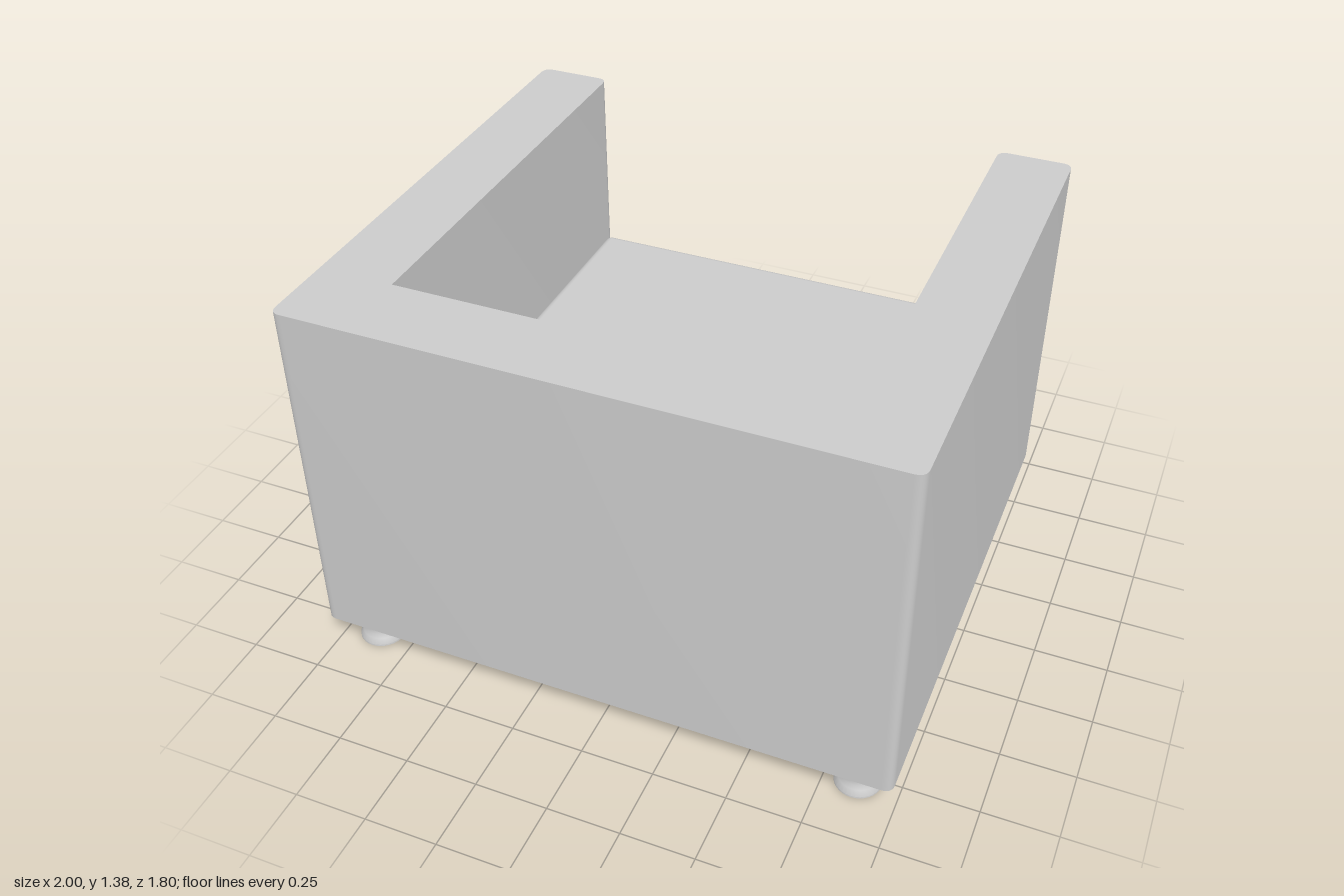
import * as THREE from 'three';
import { toCreasedNormals } from 'three/addons/utils/BufferGeometryUtils.js';
import { RoundedBoxGeometry } from 'three/addons/geometries/RoundedBoxGeometry.js';

const material = new THREE.MeshStandardMaterial({ color: 0xcccccc });

// Closed outline through [x, z, cornerRadius] points (shape y = -z)
function outline(points, target = new THREE.Shape()) {
  const n = points.length;
  points.forEach(([x, z, r], i) => {
    const p = new THREE.Vector2(x, -z);
    const toward = ([qx, qz]) => new THREE.Vector2(qx, -qz).sub(p).setLength(r).add(p);
    const a = r ? toward(points[(i + n - 1) % n]) : p;
    const b = r ? toward(points[(i + 1) % n]) : p;
    if (i === 0) target.moveTo(a.x, a.y);
    else target.lineTo(a.x, a.y);
    if (r) target.quadraticCurveTo(p.x, p.y, b.x, b.y);
  });
  target.closePath();
  return target;
}

const rectangle = (x, z0, z1, r) => [[-x, z1, r], [x, z1, r], [x, z0, r], [-x, z0, r]];

// Extrude a floor-plan outline upward from y0 to y1
function upright(shape, y0, y1) {
  const geometry = new THREE.ExtrudeGeometry(shape, { depth: y1 - y0, bevelEnabled: false, curveSegments: 6 });
  geometry.rotateX(-Math.PI / 2).translate(0, y0, 0);
  return toCreasedNormals(geometry, 0.6);
}

export function createModel() {
  const model = new THREE.Group();
  const add = (name, geometry, x = 0, y = 0, z = 0) => {
    const mesh = new THREE.Mesh(geometry, material);
    mesh.name = name;
    mesh.position.set(x, y, z);
    model.add(mesh);
  };

  // U-shaped arms and back; the seat opens toward -z
  const r = 0.035;
  add('armsAndBack', upright(outline([
    [-1, 0.9, r], [1, 0.9, r], [1, -0.9, r], [0.745, -0.9, r],
    [0.745, 0.63, 0], [-0.745, 0.63, 0], [-0.745, -0.9, r], [-1, -0.9, r],
  ]), 0.14, 1.38));

  // Seat base: thin-walled tray, open underneath
  const wall = outline(rectangle(0.744, -0.86, 0.628, 0.03));
  wall.holes.push(outline(rectangle(0.736, -0.852, 0.62, 0.025), new THREE.Path()));
  add('seatBaseWall', upright(wall, 0.14, 0.44));
  add('seatBaseTop', upright(outline(rectangle(0.744, -0.86, 0.628, 0.03)), 0.44, 0.45));

  // Seat cushion
  add('seatCushion', new RoundedBoxGeometry(1.476, 0.295, 1.457, 5, 0.03), 0, 0.6, -0.117);

  // Feet with flared bottoms
  const profile = [[0, 0], [0.078, 0], [0.078, 0.006], [0.066, 0.024], [0.059, 0.038], [0.057, 0.05], [0.057, 0.15]]
    .map(([x, y]) => new THREE.Vector2(x, y));
  const foot = toCreasedNormals(new THREE.LatheGeometry(profile, 32), 0.6);
  for (const x of [-0.877, 0.86])
    for (const z of [-0.77, 0.77]) add('foot', foot, x, 0, z);

  return model;
}
